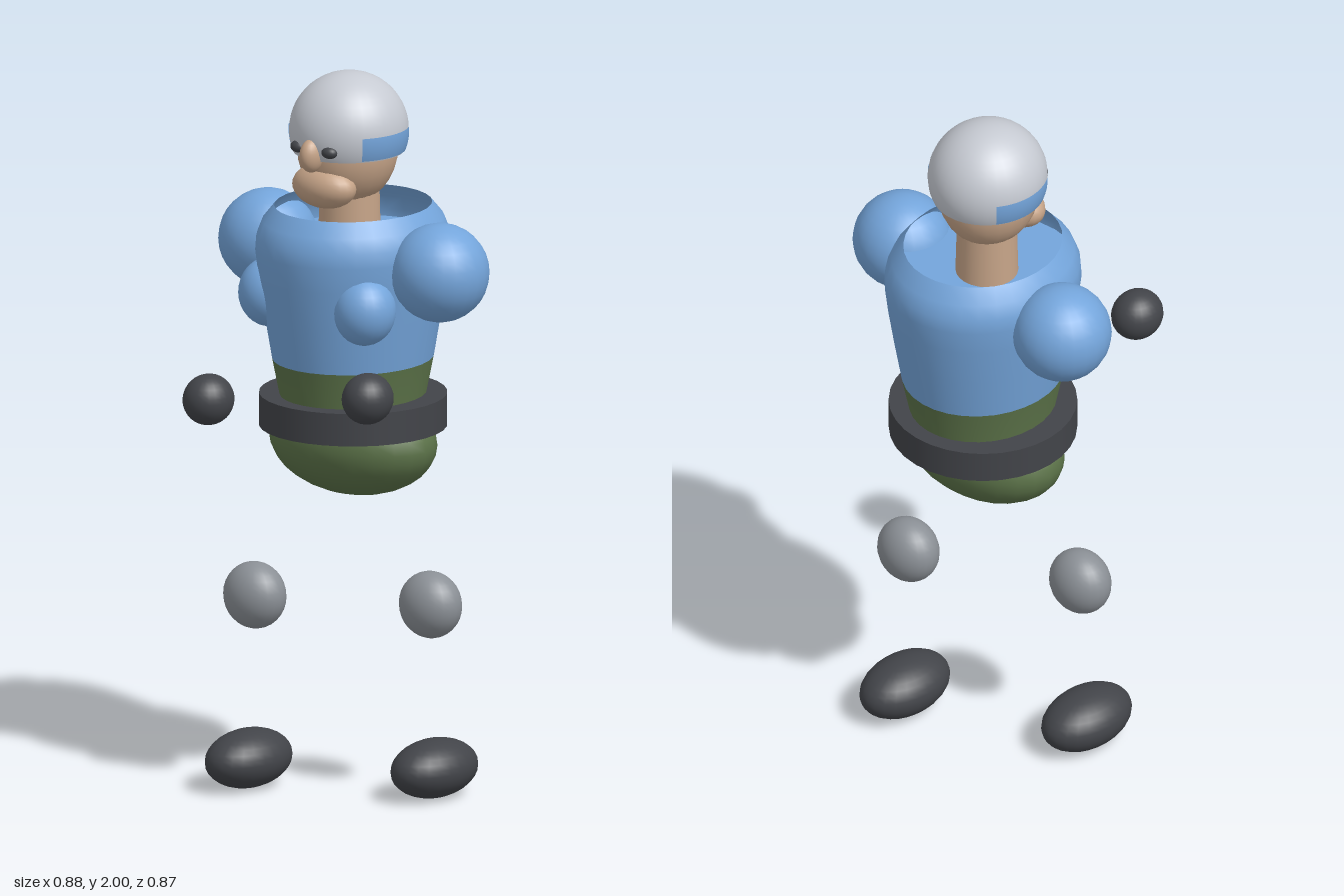
import * as THREE from 'three';

export function createModel() {
  const model = new THREE.Group();
  const mat = (name, color, side = THREE.FrontSide) => {
    const m = new THREE.MeshStandardMaterial({ color, side });
    m.name = name;
    return m;
  };
  const blue = mat('shirt blue', 0x74a5db, THREE.DoubleSide);
  const green = mat('trouser green', 0x5c7349, THREE.DoubleSide);
  const dark = mat('dark leather', 0x424449);
  const grey = mat('pad grey', 0x8b9096);
  const hairGrey = mat('hair grey', 0xc6cad2, THREE.DoubleSide);
  const skin = mat('skin', 0xc6a488);

  const AXIS_Z = -0.155; // body centre line

  function add(name, geometry, material, x, y, z, sx = 1, sy = 1, sz = 1) {
    const mesh = new THREE.Mesh(geometry, material);
    mesh.name = name;
    mesh.position.set(x, y, z);
    mesh.scale.set(sx, sy, sz);
    model.add(mesh);
    return mesh;
  }
  const ball = new THREE.SphereGeometry(1, 24, 16);
  const blob = (name, m, x, y, z, rx, ry = rx, rz = rx) => add(name, ball, m, x, y, z, rx, ry, rz);
  const lathe = (points) =>
    new THREE.LatheGeometry(points.map(([r, y]) => new THREE.Vector2(r, y)), 32);

  // Torso: open-necked barrel, slightly deeper than wide
  add('shirt', lathe([
    [0.21, 1.205], [0.23, 1.33], [0.246, 1.44], [0.254, 1.51],
    [0.251, 1.55], [0.236, 1.59], [0.205, 1.63],
  ]), blue, 0, 0, AXIS_Z, 1, 1, 1.1);
  const floor = add('shirtInside', new THREE.CircleGeometry(0.25, 32), blue, 0, 1.53, AXIS_Z, 1, 1.1, 1);
  floor.rotation.x = -Math.PI / 2;
  add('waist', lathe([[0.185, 1.03], [0.19, 1.1], [0.21, 1.205]]), green, 0, 0, AXIS_Z, 1, 1, 1.1);
  add('belt', new THREE.CylinderGeometry(0.255, 0.255, 0.09, 32), dark, 0, 1.06, AXIS_Z);
  blob('hips', green, 0, 0.975, AXIS_Z, 0.258, 0.15, 0.178);

  // Shoulders and chest pockets
  for (const s of [-1, 1]) {
    blob('shoulder', blue, s * 0.305, 1.485, -0.158, 0.135);
    blob('chestPad', blue, s * 0.168, 1.385, -0.005, 0.085, 0.095, 0.087);
  }

  // Hands, knees and feet in a walking pose
  blob('rightHand', dark, -0.077, 1.168, 0.357, 0.067, 0.07, 0.075);
  blob('leftHand', dark, 0.246, 1.168, 0.073, 0.067, 0.07, 0.075);
  blob('rightKnee', grey, -0.217, 0.533, 0.0, 0.092, 0.092, 0.077);
  blob('leftKnee', grey, 0.215, 0.533, -0.225, 0.092, 0.092, 0.077);
  blob('rightFoot', dark, -0.228, 0.08, 0.013, 0.096, 0.08, 0.145);
  blob('leftFoot', dark, 0.227, 0.08, -0.227, 0.096, 0.08, 0.145);

  // Head
  add('neck', new THREE.CylinderGeometry(0.08, 0.085, 0.2, 24), skin, 0, 1.63, -0.14);
  blob('head', skin, 0, 1.79, -0.133, 0.133, 0.155, 0.143);
  blob('jaw', skin, 0, 1.7, -0.035, 0.1, 0.06, 0.065);
  blob('nose', skin, 0, 1.795, 0.017, 0.029, 0.047, 0.04);

  // Hair cap cut off below the widest line, with a coloured patch on each side
  const HAIR = [0, 1.84, -0.137];
  add('hair', new THREE.SphereGeometry(1, 32, 16, 0, Math.PI * 2, 0, Math.PI * 0.62),
    hairGrey, ...HAIR, 0.16, 0.16, 0.165);
  for (const s of [-1, 1]) {
    blob('eye', dark, s * 0.055, 1.81, 0.008, 0.024, 0.017, 0.02);
    const middle = s > 0 ? Math.PI : 0;
    add('hairPatch', new THREE.SphereGeometry(1.012, 16, 6, middle - 0.62, 1.24, Math.PI * 0.48, Math.PI * 0.13),
      blue, ...HAIR, 0.16, 0.16, 0.165);
  }
  return model;
}
